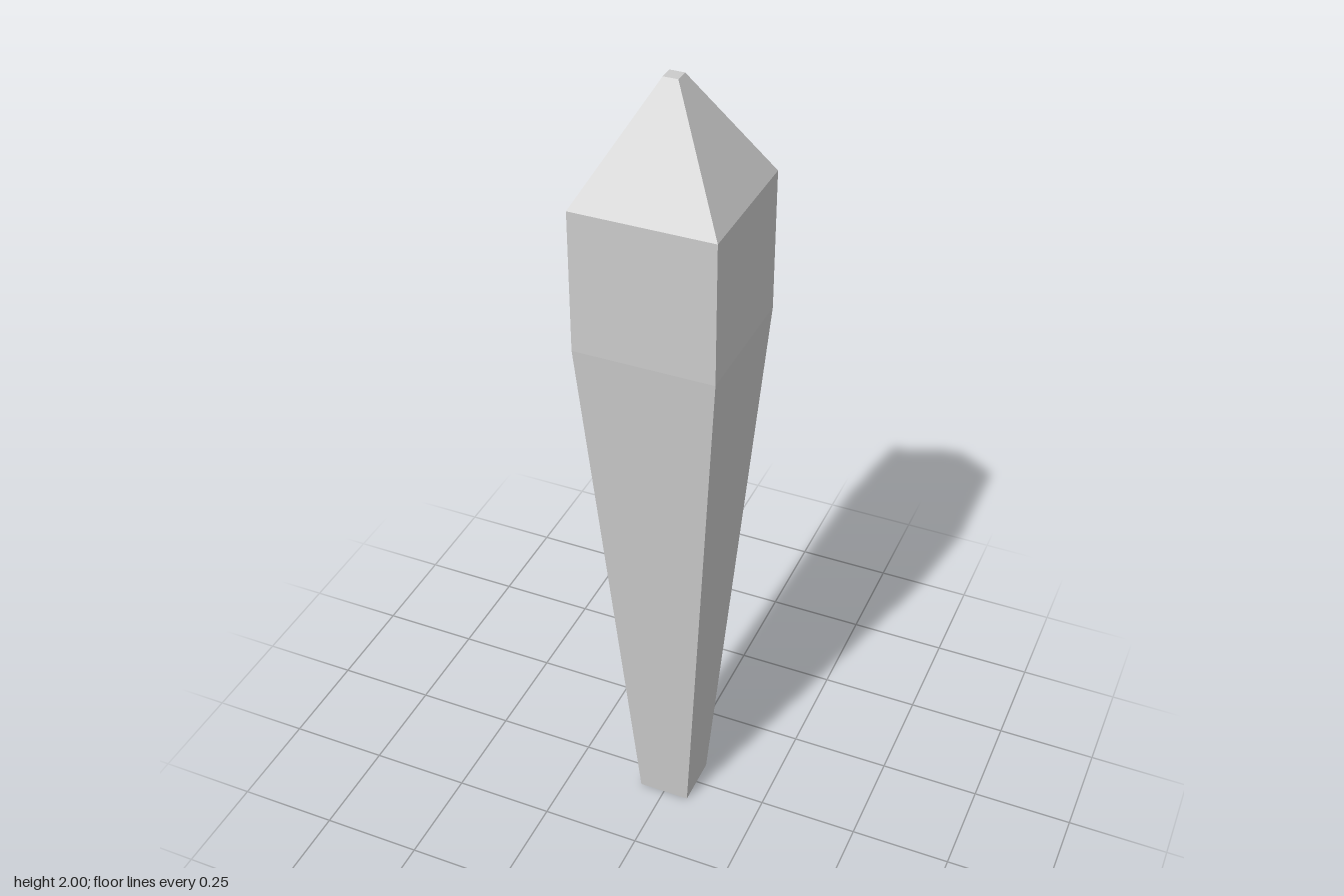
import * as THREE from 'three';

// Half-width of the square section at each height, bottom to top
const SECTIONS = [
  { y: 0, half: 0.065 },
  { y: 1.4, half: 0.167 },
  { y: 1.74, half: 0.167 },
  { y: 2, half: 0.017 },
];

export function createModel() {
  const group = new THREE.Group();
  group.name = 'taperedStake';

  // A box with one ring of corners per section, each ring moved to its height and width
  const rows = SECTIONS.length - 1;
  const box = new THREE.BoxGeometry(2, rows, 2, 1, rows, 1);
  const position = box.attributes.position;
  for (let i = 0; i < position.count; i++) {
    const { y, half } = SECTIONS[Math.round(position.getY(i) + rows / 2)];
    position.setXYZ(i, position.getX(i) * half, y, position.getZ(i) * half);
  }
  const geometry = box.toNonIndexed();
  geometry.computeVertexNormals();

  const material = new THREE.MeshStandardMaterial({ color: 0xcccccc, flatShading: true });
  const shaft = new THREE.Mesh(geometry, material);
  shaft.name = 'pointedShaft';
  group.add(shaft);
  return group;
}
